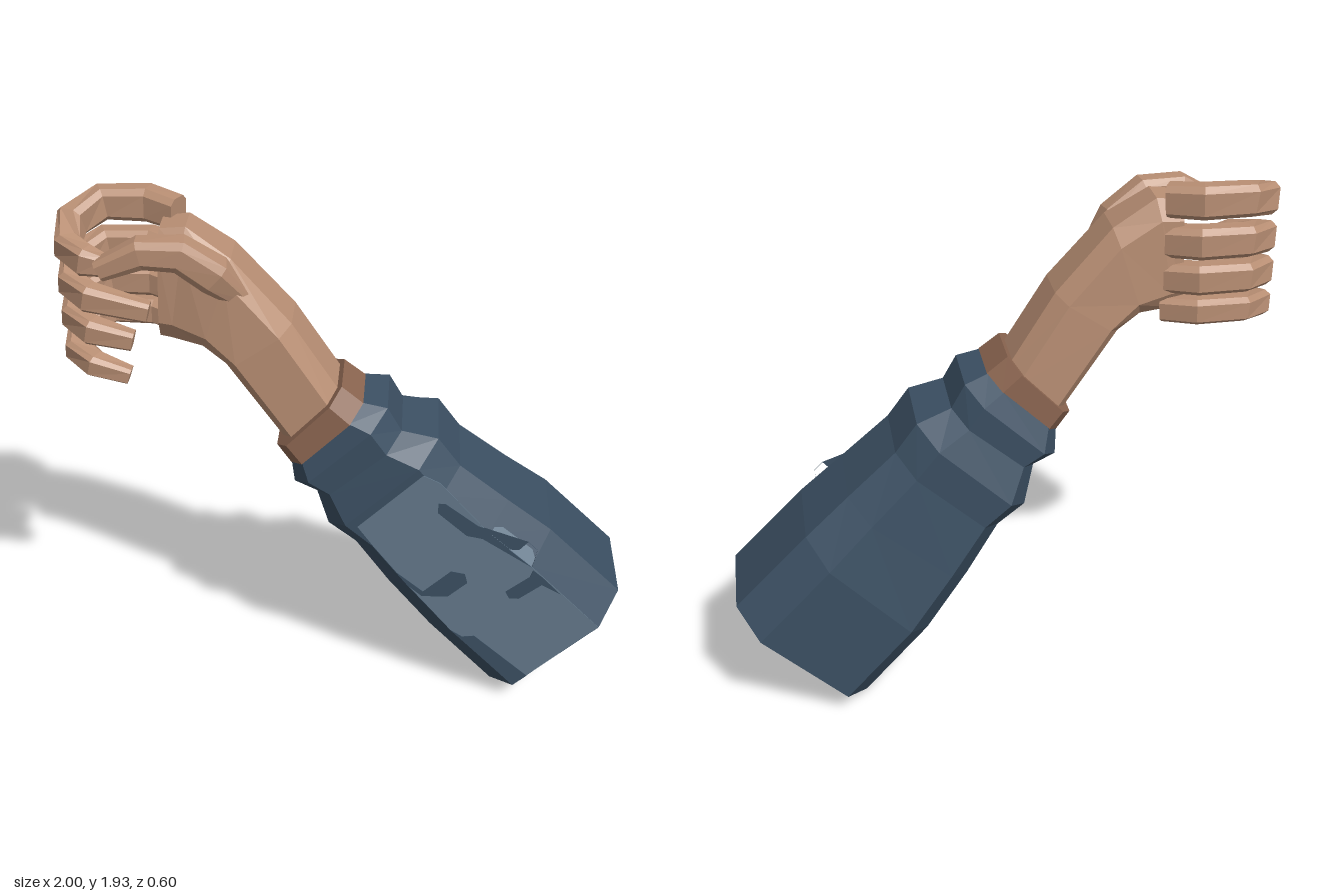
import * as THREE from 'three';

const V = (x, y, z) => new THREE.Vector3(x, y, z);
const mat = (name, color) => new THREE.MeshStandardMaterial({ name, color, flatShading: true, side: THREE.DoubleSide });

// Closed loft through rings of equal length, wound outwards by its signed volume
function loft(rings) {
  const n = rings[0].length, tris = [];
  for (let r = 0; r < rings.length - 1; r++) {
    for (let i = 0; i < n; i++) {
      const j = (i + 1) % n;
      const a = rings[r][i], b = rings[r][j], c = rings[r + 1][j], d = rings[r + 1][i];
      tris.push([a, b, c], [a, c, d]);
    }
  }
  const first = rings[0], last = rings[rings.length - 1];
  for (let i = 1; i < n - 1; i++) {
    tris.push([first[0], first[i + 1], first[i]], [last[0], last[i], last[i + 1]]);
  }
  const volume = tris.reduce((s, [a, b, c]) => s + a.dot(b.clone().cross(c)), 0);
  const points = tris.flatMap(([a, b, c]) => (volume > 0 ? [a, b, c] : [a, c, b]));
  const geo = new THREE.BufferGeometry().setFromPoints(points);
  geo.computeVertexNormals();
  return geo;
}

// Bevelled octagon: [along lower-to-upper edge, along back-to-front], both 0..1
const BT = 0.17, BZ = 0.22;
const OCT = [[0, BZ], [0, 1 - BZ], [BT, 1], [1 - BT, 1], [1, 1 - BZ], [1, BZ], [1 - BT, 0], [BT, 0]];

// Section from lower point, upper point and back/front depth
const section = ([lx, ly, ux, uy, zb, zf]) =>
  OCT.map(([t, s]) => V(lx + (ux - lx) * t, ly + (uy - ly) * t, zb + (zf - zb) * s));

// Bevelled tube along a path, mitred at each joint
function limb(path, width, height, up, scales) {
  return loft(path.map((p, i) => {
    const next = path[Math.min(i + 1, path.length - 1)], prev = path[Math.max(i - 1, 0)];
    const d1 = next.clone().sub(p).normalize(), d0 = p.clone().sub(prev).normalize();
    const t = d0.clone().add(d1).normalize();
    const side = t.clone().cross(up).normalize();
    const lift = side.clone().cross(t).normalize();
    const miter = i > 0 && i < path.length - 1 ? 1 / Math.max(0.8, t.dot(d1)) : 1;
    return OCT.map(([a, b]) => p.clone()
      .addScaledVector(lift, (a - 0.5) * height * scales[i])
      .addScaledVector(side, (b - 0.5) * width * scales[i] * miter));
  }));
}

export function createModel() {
  const skin = mat('skin', 0xb98f74);
  const cuffSkin = mat('dark skin', 0x8b6550);
  const cloth = mat('sleeve blue', 0x3b4f62);
  const lightCloth = mat('light camouflage', 0x64798b);

  const model = new THREE.Group();
  model.name = 'arm';
  const add = (name, geo, material, parent = model) => {
    const mesh = new THREE.Mesh(geo, material);
    mesh.name = name;
    parent.add(mesh);
    return mesh;
  };

  // Sleeve with two folds near the wrist
  const sleeve = [
    [-0.21, 1.00, 0.04, 1.24, -0.09, 0.27],
    [-0.20, 0.91, 0.13, 1.22, -0.14, 0.285],
    [-0.12, 0.87, 0.18, 1.13, -0.14, 0.285],
    [-0.08, 0.73, 0.31, 1.10, -0.20, 0.30],
    [0.02, 0.65, 0.39, 0.99, -0.20, 0.30],
    [0.14, 0.47, 0.57, 0.84, -0.24, 0.30],
    [0.30, 0.26, 0.73, 0.71, -0.29, 0.30],
    [0.54, 0.00, 1.00, 0.44, -0.30, 0.30],
  ].map(section);
  add('sleeve', loft(sleeve), cloth);

  // Wrist band
  add('wristBand', loft([
    [-0.26, 1.06, -0.03, 1.30, -0.085, 0.265],
    [-0.21, 0.99, 0.045, 1.24, -0.09, 0.275],
  ].map(section)), cuffSkin);

  // Forearm and palm
  add('forearmAndPalm', loft([
    [-0.21, 1.04, -0.02, 1.24, -0.07, 0.23],
    [-0.43, 1.37, -0.20, 1.53, -0.06, 0.23],
    [-0.51, 1.43, -0.40, 1.76, -0.05, 0.21],
    [-0.62, 1.445, -0.55, 1.86, -0.04, 0.17],
    [-0.66, 1.45, -0.64, 1.85, -0.03, 0.16],
  ].map(section)), skin);

  // Fingers curling from the back of the palm round to the front
  const fingers = new THREE.Group();
  fingers.name = 'fingers';
  model.add(fingers);
  [
    ['indexFinger', 1.865, 1.775, 1.75, -0.82, 0.115],
    ['middleFinger', 1.715, 1.64, 1.58, -0.68, 0.11],
    ['ringFinger', 1.58, 1.515, 1.47, -0.74, 0.105],
    ['littleFinger', 1.46, 1.385, 1.335, -0.76, 0.09],
  ].forEach(([name, yBack, yOuter, yTip, xTip, h]) => {
    const yMid = (yBack + yOuter) / 2;
    const path = [
      V(-0.59, yBack - 0.01, 0.0), V(-0.70, yBack, -0.06), V(-0.86, yBack, -0.06),
      V(-0.95, yMid + 0.01, 0.03), V(-0.95, yOuter + 0.01, 0.13),
      V(-0.88, yOuter - 0.01, 0.195), V(xTip, yTip, 0.20),
    ];
    add(name, limb(path, 0.085, h, V(0, 1, 0), [1, 1.05, 1, 1, 0.95, 0.9, 0.65]), skin, fingers);
  });

  // Thumb folded over the front of the fist
  add('thumb', limb([
    V(-0.36, 1.62, 0.17), V(-0.45, 1.72, 0.195), V(-0.56, 1.805, 0.215),
    V(-0.69, 1.81, 0.225), V(-0.83, 1.745, 0.225),
  ], 0.11, 0.095, V(0, 0, 1), [0.6, 1.1, 1, 0.9, 0.65]), skin);

  // Camouflage plates on the flat front of the sleeve
  const plate = (name, pts, z, material) => {
    const shape = new THREE.Shape(pts.map(([x, y]) => new THREE.Vector2(x, y)));
    const geo = new THREE.ExtrudeGeometry(shape, { depth: 0.003, bevelEnabled: false });
    add(name, geo.translate(0, 0, z), material);
  };
  plate('frontPanel', [[0.03, 0.79], [0.26, 1.015], [0.32, 0.985], [0.50, 0.777],
    [0.66, 0.633], [0.92, 0.367], [0.62, 0.077], [0.375, 0.335], [0.215, 0.535], [0.085, 0.71]], 0.299, lightCloth);
  [
    [[0.315, 0.90], [0.34, 0.90], [0.47, 0.80], [0.505, 0.77], [0.66, 0.633], [0.675, 0.71], [0.64, 0.745],
      [0.61, 0.71], [0.545, 0.71], [0.52, 0.745], [0.42, 0.765], [0.315, 0.86]],
    [[0.57, 0.52], [0.585, 0.49], [0.62, 0.49], [0.70, 0.555], [0.77, 0.515], [0.70, 0.59],
      [0.665, 0.62], [0.655, 0.59]],
    [[0.17, 0.595], [0.215, 0.535], [0.265, 0.49], [0.36, 0.49], [0.43, 0.555], [0.42, 0.595], [0.37, 0.605], [0.27, 0.51]],
    [[0.375, 0.335], [0.42, 0.305], [0.465, 0.31], [0.67, 0.125], [0.62, 0.077]],
  ].forEach((pts, i) => plate('camouflagePatch' + (i + 1), pts, 0.3005, cloth));

  // Light patch on the upper front bevel
  const at = (along, across) => {
    const a = sleeve[5][3].clone().lerp(sleeve[6][3], along);
    const b = sleeve[5][4].clone().lerp(sleeve[6][4], along);
    return a.lerp(b, across).add(V(0.003, 0.003, 0.004));
  };
  const rim = [at(0.02, 0), at(0.02, 0.2), at(0.15, 0.34), at(0.85, 0.34), at(0.98, 0.2), at(0.98, 0)];
  const fan = [];
  for (let i = 1; i < rim.length - 1; i++) fan.push(rim[0], rim[i + 1], rim[i]);
  const patch = new THREE.BufferGeometry().setFromPoints(fan);
  patch.computeVertexNormals();
  add('upperPatch', patch, lightCloth);

  return model;
}
